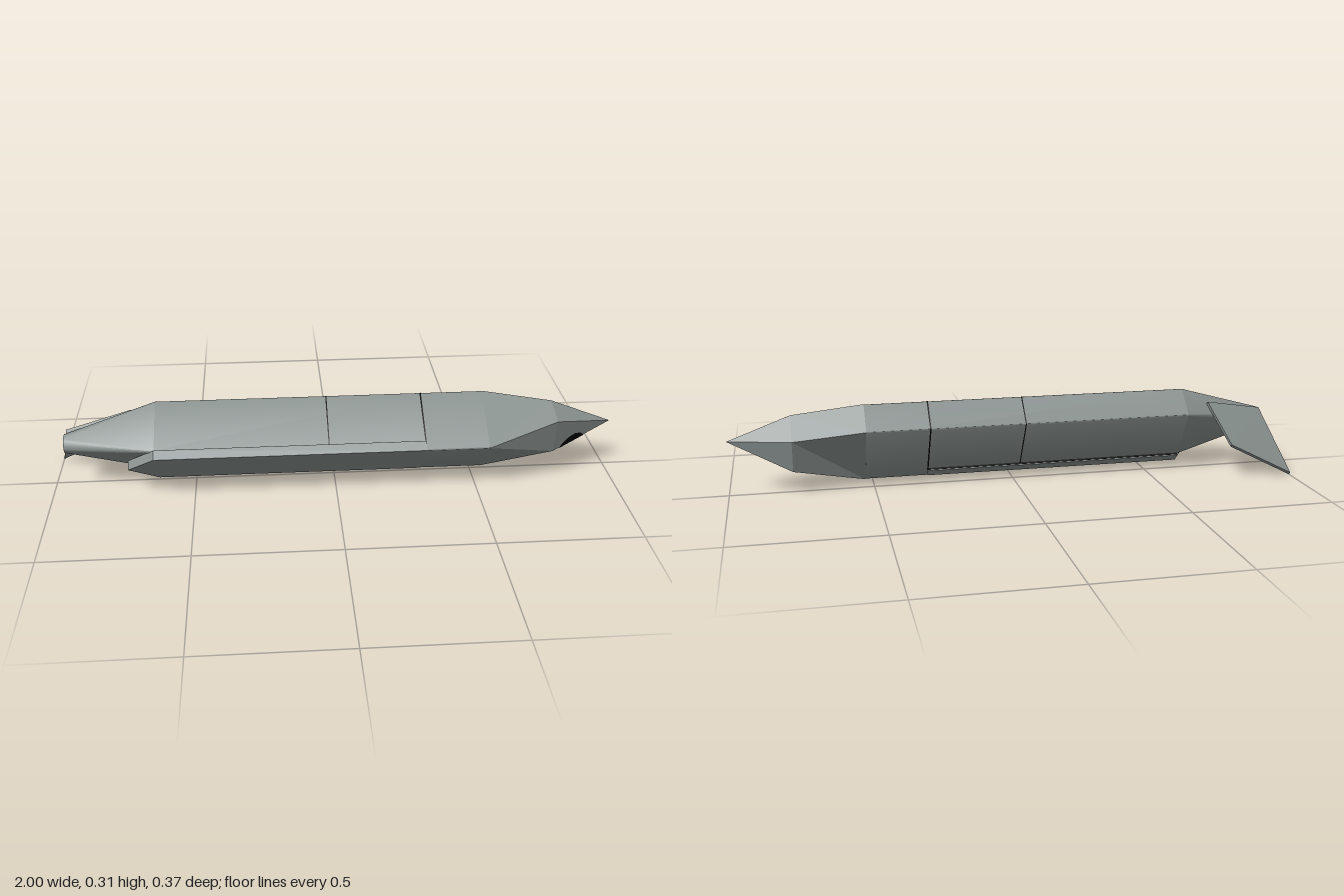
import * as THREE from 'three';
import { toCreasedNormals } from 'three/addons/utils/BufferGeometryUtils.js';
import { ConvexGeometry } from 'three/addons/geometries/ConvexGeometry.js';

const grey = new THREE.MeshStandardMaterial({ color: 0x8a9290 });
grey.name = 'hull grey';
const black = new THREE.MeshStandardMaterial({ color: 0x000000 });
black.name = 'seam black';

// Local frame: x forward, y up from the belly, z across. The whole body is rolled at the end.
const TILT = Math.atan2(0.057, 0.231);

function triangles(list) {
  const g = new THREE.BufferGeometry();
  g.setAttribute('position', new THREE.Float32BufferAttribute(list.flat(2), 3));
  g.computeVertexNormals();
  return g;
}

// Trapezoid ring with rounded corners; with zero half widths it becomes a circle
function section(x, base, baseHalf, top, topHalf, r) {
  const steps = 6, ring = [];
  const arc = (z, y, a, b) => {
    for (let i = 0; i <= steps; i++) {
      const t = a + (b - a) * i / steps;
      ring.push([x, y + r * Math.sin(t), z + r * Math.cos(t)]);
    }
  };
  const q = Math.PI / 2;
  arc(baseHalf, base + r, -q, TILT);
  arc(topHalf, top - r, TILT, q);
  arc(-topHalf, top - r, q, Math.PI - TILT);
  arc(-baseHalf, base + r, Math.PI - TILT, 3 * q);
  return ring;
}

// Skin over rings that run from front to back
function loft(rings, capped = true) {
  const tris = [];
  const n = rings[0].length;
  const mid = ring => [0, 1, 2].map(k => ring.reduce((s, p) => s + p[k], 0) / n);
  const first = rings[0], last = rings[rings.length - 1];
  const c0 = mid(first), c1 = mid(last);
  for (let i = 0; i < n; i++) {
    const j = (i + 1) % n;
    for (let k = 0; k + 1 < rings.length; k++) {
      const a = rings[k], b = rings[k + 1];
      tris.push([a[i], a[j], b[i]], [a[j], b[j], b[i]]);
    }
    if (capped) tris.push([c0, first[j], first[i]], [c1, last[i], last[j]]);
  }
  return toCreasedNormals(triangles(tris), 0.5);
}

// Flat facets, each turned to face away from a centre point
function facets(list, centre) {
  const c = new THREE.Vector3(...centre);
  return triangles(list.map(t => {
    const [a, b, d] = t.map(p => new THREE.Vector3(...p));
    const normal = b.clone().sub(a).cross(d.clone().sub(a));
    const out = a.clone().add(b).add(d).divideScalar(3).sub(c);
    return normal.dot(out) < 0 ? [t[0], t[2], t[1]] : t;
  }));
}

const mirror = p => [p[0], p[1], -p[2]];

export function createModel() {
  const model = new THREE.Group();
  const body = new THREE.Group();
  body.name = 'rolledBody';
  model.add(body);
  const add = (name, geometry, material = grey) => {
    const mesh = new THREE.Mesh(geometry, material);
    mesh.name = name;
    body.add(mesh);
  };

  // Main hull and tail cone
  const R = 0.006;
  const hull = (x, grow = 0) =>
    section(x, 0.03 - grow, 0.1, 0.231 + grow, 0.052, R + grow);
  add('forwardHull', loft([
    section(0.53, 0, 0.108, 0.231, 0.052, R),
    section(0.31, 0, 0.108, 0.231, 0.052, R),
  ]));
  add('mainHull', loft([hull(0.31), hull(-0.63)]));
  add('tailCone', loft([hull(-0.63), section(-0.95, 0.072, 0, 0.138, 0, 0.033)]));

  // Faceted nose with a keel
  const B = [0.53, 0, 0.114], A = [0.53, 0.231, 0.057];
  const K = [0.78, 0.0137, 0], S = [0.78, 0.087, 0.114], P = [0.78, 0.187, 0.054];
  const T = [1, 0.122, 0];
  const side = [[B, K, S], [B, S, P], [B, P, A], [S, K, T], [S, T, P]];
  add('nose', facets([
    ...side, ...side.map(t => t.map(mirror)),
    [B, mirror(B), K], [A, mirror(A), P], [mirror(A), mirror(P), P], [P, mirror(P), T],
  ], [0.7, 0.12, 0]));

  // Sensor window wrapped over the nose keel
  const outline = [[0.803, 0], [0.815, 0.014], [0.838, 0.025], [0.862, 0.028], [0.885, 0.016], [0.9, 0]];
  const onNose = ([x, z]) => [x, 0.0137 + z * 0.643 + (x - 0.78) * 0.491 - 0.002, z];
  const pane = [];
  for (let i = 0; i + 1 < outline.length; i++) {
    pane.push([[0.85, 0], outline[i], outline[i + 1]].map(onNose));
  }
  add('sensorWindow', facets([...pane, ...pane.map(t => t.map(mirror))], [0.85, 0.14, 0]), black);

  // Belly slab holding the folded wings, pointed at the rear
  const slab = new THREE.Shape([
    [0.31, -0.114], [0.31, 0.114], [-0.63, 0.114], [-0.73, 0], [-0.63, -0.114],
  ].map(p => new THREE.Vector2(...p)));
  const slabGeometry = new THREE.ExtrudeGeometry(slab, { depth: 0.034, bevelEnabled: false });
  slabGeometry.rotateX(-Math.PI / 2);
  add('bellySlab', slabGeometry);

  // Panel seams
  for (const [x, w] of [[0.309, 0.005], [-0.028, 0.004]]) {
    add('hoopSeam', loft([hull(x + w / 2, 0.0012), hull(x - w / 2, 0.0012)], false), black);
  }
  for (const s of [-1, 1]) {
    const seam = new THREE.BoxGeometry(0.94, 0.003, 0.006);
    seam.translate(-0.16, 0.0345, s * 0.1075);
    add('longSeam', seam, black);
  }

  // Single tail fin lying along the tail slope
  const finCorners = [
    [-0.72, 0.215, 0], [-0.945, 0.147, 0.005], [-1, 0.133, -0.27], [-0.77, 0.207, -0.18],
  ];
  add('tailFin', new ConvexGeometry(finCorners.flatMap(([x, y, z]) =>
    [-0.007, 0.007].map(d => new THREE.Vector3(x, y + d, z)))));

  // Roll to the resting pose
  body.rotation.x = -Math.PI / 4;
  body.position.set(0, 0.102, 0.105);
  return model;
}
